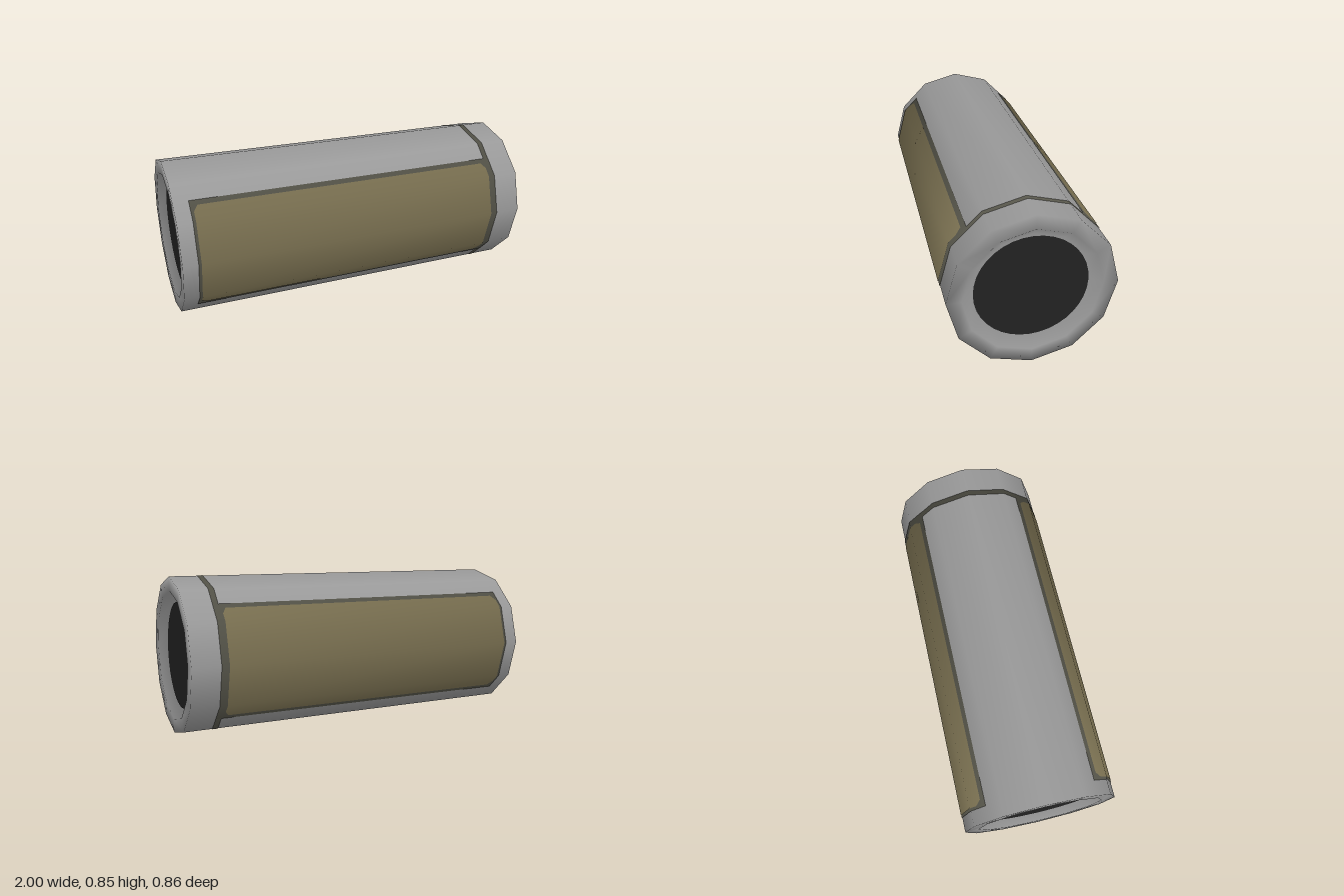
import * as THREE from 'three';

const R = 0.425, SIDES = 12;

// Point on the twelve-sided outline; u counts corners from the top towards +z
function outline(u, r) {
  const k = Math.floor(u), t = u - k, step = (Math.PI * 2) / SIDES;
  const a = k * step, b = (k + 1) * step;
  return [
    r * ((1 - t) * Math.cos(a) + t * Math.cos(b)),
    r * ((1 - t) * Math.sin(a) + t * Math.sin(b)),
  ];
}

// Thin skin lying on the barrel. Each row is [u, xStart, xEnd]
function skin(name, rows, lift, material) {
  const pos = [], nor = [], idx = [];
  rows.forEach(([u, x0, x1], i) => {
    const [y, z] = outline(u, R + lift);
    const len = Math.hypot(y, z);
    for (const x of [x0, x1]) {
      pos.push(x, y, z);
      const n = new THREE.Vector3(x, y / len, z / len).normalize();
      nor.push(n.x, n.y, n.z);
    }
    if (i > 0) {
      const a = 2 * (i - 1);
      idx.push(a, a + 2, a + 1, a + 1, a + 2, a + 3);
    }
  });
  const g = new THREE.BufferGeometry();
  g.setAttribute('position', new THREE.Float32BufferAttribute(pos, 3));
  g.setAttribute('normal', new THREE.Float32BufferAttribute(nor, 3));
  g.setIndex(idx);
  const mesh = new THREE.Mesh(g, material);
  mesh.name = name;
  return mesh;
}

// Adds the lower half of a panel by mirroring its upper rows about u = 3
const mirrorRows = (rows) => [
  ...rows, [3, rows.at(-1)[1], rows.at(-1)[2]],
  ...rows.slice().reverse().map(([u, a, b]) => [6 - u, a, b]),
];

export function createModel() {
  const mat = (name, color) => {
    const m = new THREE.MeshStandardMaterial({ color });
    m.name = name;
    return m;
  };
  const grey = mat('grey metal', 0x989898);
  const olive = mat('olive panel', 0x7d7353);
  const seam = mat('dark seam', 0x56554a);
  const black = mat('black', 0x222222);

  const group = new THREE.Group();
  group.name = 'canister';

  // Barrel with a shallow recess in each end
  const half = [[R, 1], [0.35, 1], [0.3, 0.955], [0, 0.955]];
  const profile = [
    ...half.slice().reverse().map(([r, x]) => new THREE.Vector2(r, -x)),
    ...half.map(([r, x]) => new THREE.Vector2(r, x)),
  ];
  const barrel = new THREE.Mesh(
    new THREE.LatheGeometry(profile, SIDES).rotateZ(-Math.PI / 2), grey);
  barrel.name = 'barrel';
  group.add(barrel);

  // Dark discs in the recesses
  for (const s of [1, -1]) {
    const disc = new THREE.Mesh(new THREE.CircleGeometry(0.288, 36), black);
    disc.name = s > 0 ? 'leftEndDisc' : 'rightEndDisc';
    disc.rotation.y = (s * Math.PI) / 2;
    disc.position.x = s * 0.958;
    group.add(disc);
  }

  // Seam ring around one end
  const ringRows = Array.from({ length: SIDES + 1 }, (_, i) => [i, 0.82, 0.85]);
  group.add(skin('seamRing', ringRows, 0.002, seam));

  // Side panels with dark borders, front and back
  const border = mirrorRows([[1.47, -0.92, 0.85], [1.76, -0.92, 0.85], [2, -0.92, 0.85]]);
  const panel = mirrorRows([[1.6, -0.88, 0.79], [1.76, -0.905, 0.81], [2, -0.905, 0.81]]);
  for (const [side, turn] of [['front', 0], ['back', 6]]) {
    const shift = (rows) => rows.map(([u, a, b]) => [u + turn, a, b]);
    group.add(skin(side + 'PanelBorder', shift(border), 0.003, seam));
    group.add(skin(side + 'Panel', shift(panel), 0.005, olive));
  }

  for (const part of group.children) part.position.y += R;
  return group;
}
